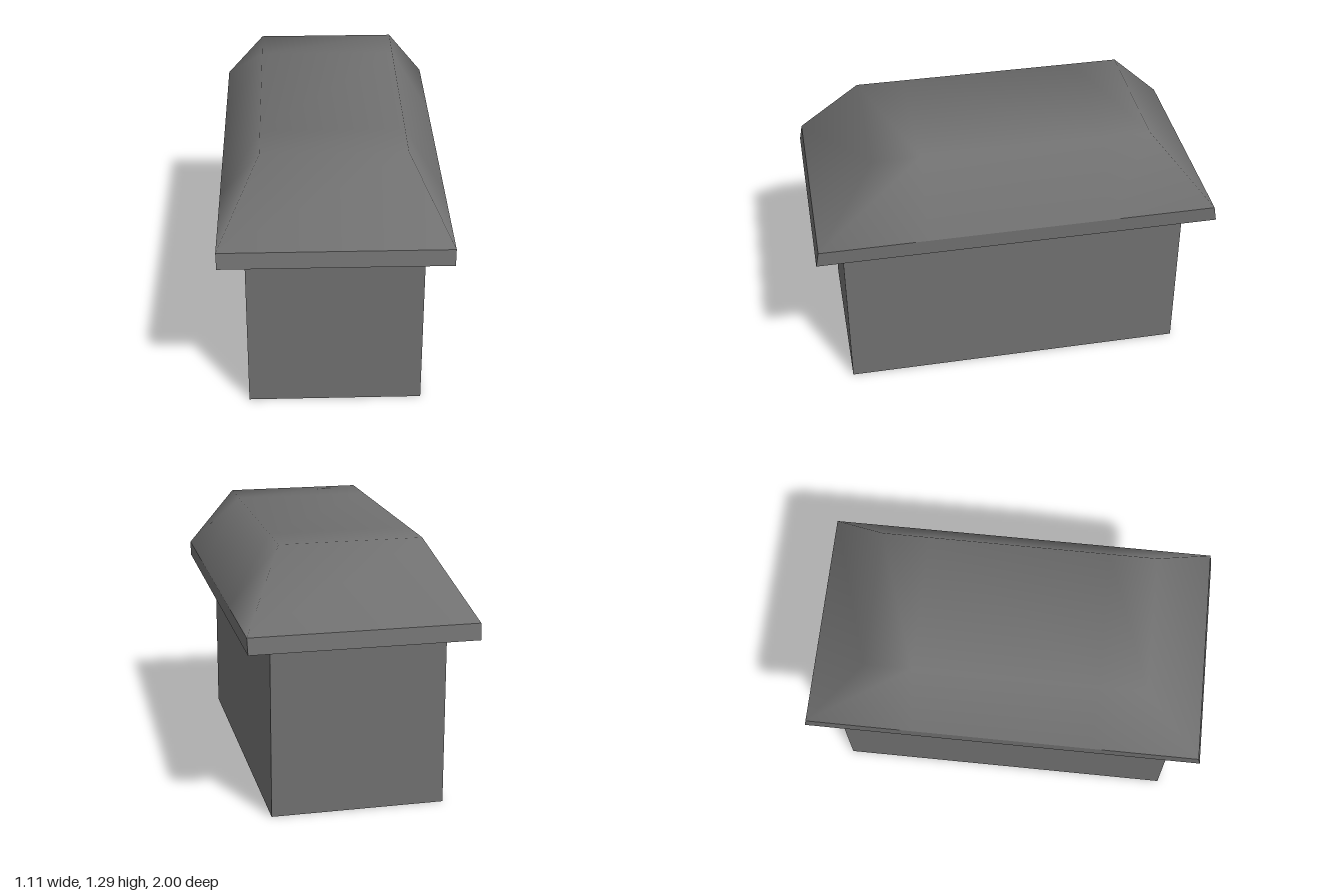
import * as THREE from 'three';

const material = new THREE.MeshStandardMaterial({ color: 0x707070 });
const shellMaterial = new THREE.MeshStandardMaterial({ color: 0x707070, side: THREE.DoubleSide });

const WALL = { x: 0.428, z: 0.865, top: 1.06 };
const RECESS = 0.025;
const CUT = 0.45; // z of the two cross cuts that divide the roof

// Level rectangle, counter-clockwise from above, its long sides divided at the cuts
const ring = (x, y, z) => [
  [-x, y, z], [x, y, z], [x, y, CUT], [x, y, -CUT],
  [x, y, -z], [-x, y, -z], [-x, y, -CUT], [-x, y, CUT],
];

// Skin joining two rings, optionally closed on top
function loft(lower, upper, capped) {
  const geometry = new THREE.BufferGeometry();
  geometry.setAttribute('position',
    new THREE.Float32BufferAttribute([...lower, ...upper].flat(), 3));
  const index = [];
  const quad = (a, b, c, d) => index.push(a, b, c, a, c, d);
  const n = lower.length;
  for (let i = 0; i < n; i++) {
    const j = (i + 1) % n;
    quad(i, j, j + n, i + n);
  }
  if (capped) {
    quad(n, n + 1, n + 2, n + 7);
    quad(n + 7, n + 2, n + 3, n + 6);
    quad(n + 6, n + 3, n + 4, n + 5);
  }
  geometry.setIndex(index);
  return geometry;
}

const smooth = (geometry) => {
  geometry.computeVertexNormals();
  return geometry;
};
const flat = (geometry) => smooth(geometry.toNonIndexed());

function rectanglePath(path, x0, y0, x1, y1) {
  path.moveTo(x0, y0);
  path.lineTo(x1, y0);
  path.lineTo(x1, y1);
  path.lineTo(x0, y1);
  path.closePath();
  return path;
}

export function createModel() {
  const group = new THREE.Group();
  const add = (name, geometry, mat = material) => {
    const mesh = new THREE.Mesh(geometry, mat);
    mesh.name = name;
    group.add(mesh);
    return mesh;
  };

  // Main block, which runs up inside the hollow roof
  const walls = add('walls', new THREE.BoxGeometry(2 * WALL.x - RECESS, WALL.top, 2 * WALL.z));
  walls.position.set(RECESS / 2, WALL.top / 2, 0);

  // Right wall layer with two shallow window recesses
  const face = rectanglePath(new THREE.Shape(), -WALL.z, 0, WALL.z, WALL.top);
  for (const z of [-0.248, 0.248]) {
    face.holes.push(rectanglePath(new THREE.Path(), z - 0.124, 0.56, z + 0.124, 0.81));
  }
  const windowWall = add('windowWall',
    new THREE.ExtrudeGeometry(face, { depth: RECESS, bevelEnabled: false }));
  windowWall.rotation.y = -Math.PI / 2;
  windowWall.position.x = -WALL.x + RECESS;

  // Hipped roof with a flat top, smoothly shaded
  const eaves = ring(0.555, 0.942, 0.985);
  const eavesBottom = ring(0.553, 0.863, 1);
  add('roof', smooth(loft(eaves, ring(0.349, 1.295, 0.685), true)), shellMaterial);

  // Slightly flared fascia around the eaves
  add('fascia', flat(loft(eavesBottom, eaves, false)), shellMaterial);

  // Sloping underside of the overhang, rising to the walls
  add('soffit', flat(loft(eavesBottom, ring(WALL.x, 1.05, WALL.z), false)), shellMaterial);

  return group;
}
